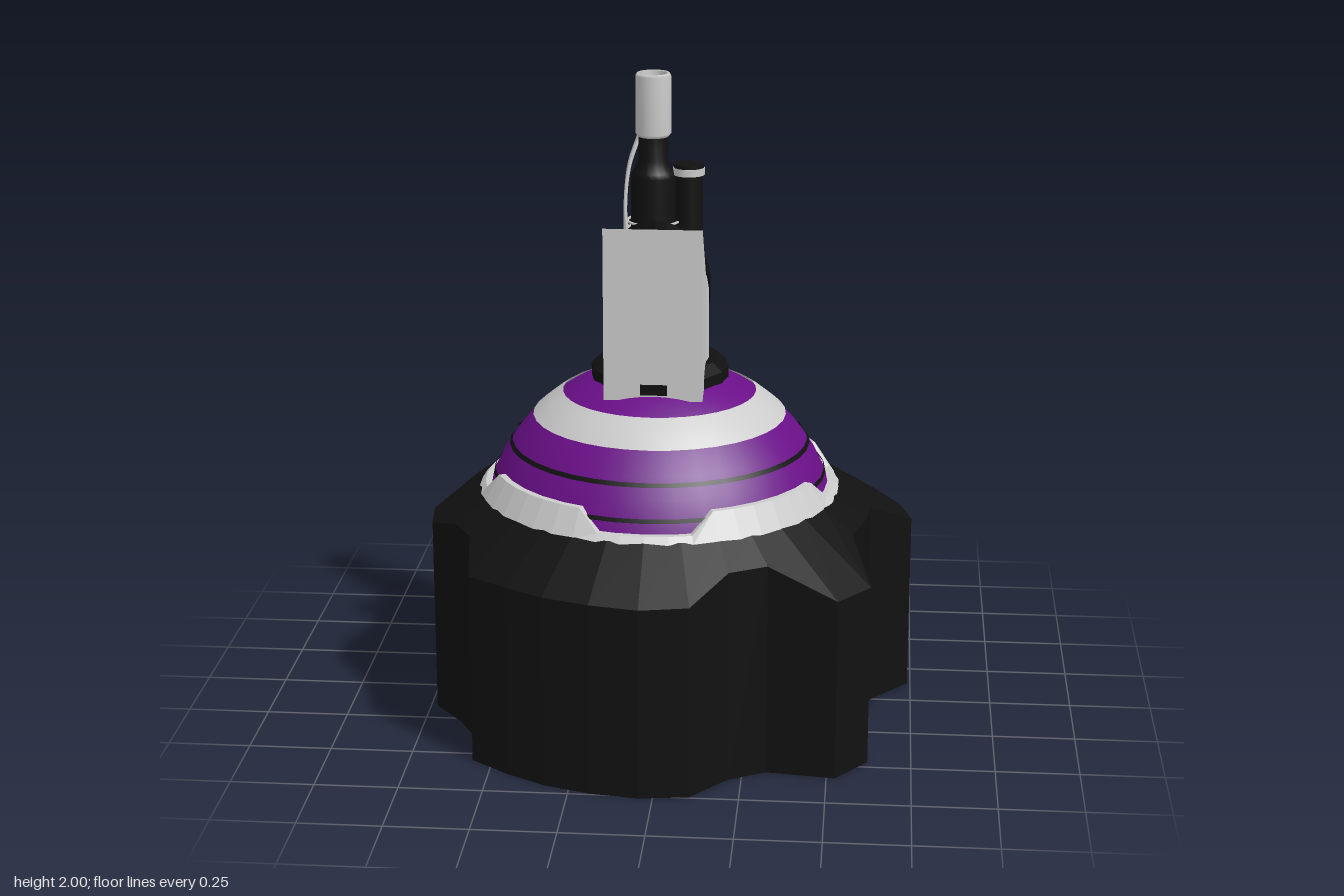
import * as THREE from 'three';

const grey = new THREE.MeshStandardMaterial({ color: 0xcccccc, side: THREE.DoubleSide });
const greyFlat = new THREE.MeshStandardMaterial({ color: 0xcccccc, side: THREE.DoubleSide, flatShading: true });
const black = new THREE.MeshStandardMaterial({ color: 0x111111, side: THREE.DoubleSide });
const blackFlat = new THREE.MeshStandardMaterial({ color: 0x111111, side: THREE.DoubleSide, flatShading: true });
const purple = new THREE.MeshStandardMaterial({ color: 0x6a0f88 });

const CX = -0.04, CZ = 0.025; // axis of the dome
const BALL_Y = 0.55, BALL_R = 0.55;

// Scalloped outline of the skirt, x and z, seen from above
const OUTLINE = [
  [-0.04, -0.77], [0.115, -0.755], [0.21, -0.585], [0.32, -0.52], [0.42, -0.435], [0.62, -0.42],
  [0.705, -0.265], [0.74, -0.135], [0.61, 0.02], [0.6, 0.13], [0.56, 0.27], [0.62, 0.465],
  [0.525, 0.585], [0.32, 0.56], [0.21, 0.62], [0.105, 0.745], [-0.04, 0.765], [-0.185, 0.745],
  [-0.325, 0.7], [-0.44, 0.635], [-0.56, 0.545], [-0.58, 0.38], [-0.64, 0.27], [-0.73, 0.16],
  [-0.745, 0.025], [-0.66, -0.06], [-0.64, -0.22], [-0.675, -0.4], [-0.58, -0.52],
  [-0.4, -0.515], [-0.28, -0.58], [-0.19, -0.755],
];

// Skin closed loops of points, listed from bottom to top
function skin(rows) {
  const n = rows[0].length, index = [];
  for (let r = 0; r < rows.length - 1; r++) {
    for (let i = 0; i < n; i++) {
      const a = r * n + i, b = r * n + (i + 1) % n;
      index.push(a, a + n, b, b, a + n, b + n);
    }
  }
  const g = new THREE.BufferGeometry();
  g.setAttribute('position', new THREE.Float32BufferAttribute(rows.flat(2), 3));
  g.setIndex(index);
  g.computeVertexNormals();
  return g;
}

// Surface of revolution from [radius, y] pairs
function lathe(profile, segments) {
  return new THREE.LatheGeometry(profile.map(([r, y]) => new THREE.Vector2(r, y)), segments);
}

// Height of the slanted cut through the turret
const cut = (z) => 1.59 - (0.175 - z) * 1.345;

// Cylinder about the turret axis whose ends follow given heights
function slantedDrum(radius, bottom, top) {
  const g = new THREE.CylinderGeometry(radius, radius, 1, 28);
  g.translate(CX, 0, CZ);
  const p = g.attributes.position;
  for (let i = 0; i < p.count; i++) p.setY(i, (p.getY(i) > 0 ? top : bottom)(p.getZ(i)));
  g.computeVertexNormals();
  return g;
}

export function createModel() {
  const model = new THREE.Group();
  function add(name, geometry, material, x = 0, y = 0, z = 0) {
    const m = new THREE.Mesh(geometry, material);
    m.name = name;
    m.position.set(x, y, z);
    model.add(m);
    return m;
  }

  // Hollow skirt: vertical scalloped wall and a shoulder sloping up to a circle
  const onCircle = (r, y) => OUTLINE.map(([x, z]) => {
    const d = Math.hypot(x - CX, z - CZ);
    return [CX + (x - CX) * r / d, y, CZ + (z - CZ) * r / d];
  });
  add('skirt', skin([
    OUTLINE.map(([x, z]) => [x, 0, z]),
    OUTLINE.map(([x, z]) => [x, Math.max(0.56, 0.72 - (Math.hypot(x - CX, z - CZ) - 0.55) * 0.7), z]),
    onCircle(0.55, 0.72),
    onCircle(0.51, 0.72),
  ]), blackFlat);

  // Ball that forms the dome and hangs inside the skirt
  add('ball', new THREE.SphereGeometry(BALL_R, 36, 24), purple, CX, BALL_Y, CZ);

  // Bands around the dome
  function band(name, y0, y1, radius, material) {
    const profile = [];
    for (let i = 0; i <= 3; i++) {
      const y = y0 + (y1 - y0) * i / 3;
      profile.push([Math.sqrt(radius ** 2 - (y - BALL_Y) ** 2), y]);
    }
    add(name, lathe(profile, 36), material, CX, 0, CZ);
  }
  band('paleBand', 0.948, 1.02, 0.555, grey);
  band('upperGroove', 0.858, 0.87, 0.554, black);
  band('lowerGroove', 0.765, 0.777, 0.554, black);

  // Collar with four broad notches in its upper edge
  const ring = (f) => Array.from({ length: 48 }, (_, i) => {
    const deg = i * 7.5, a = THREE.MathUtils.degToRad(deg);
    const off = Math.abs(((deg + 45) % 90) - 45);
    const [r, y] = f(off < 16 ? 0.735 : 0.795);
    return [CX + r * Math.sin(a), y, CZ - r * Math.cos(a)];
  });
  const hug = (y, gap) => Math.sqrt(BALL_R ** 2 - (y - BALL_Y) ** 2) + gap;
  add('collar', skin([
    ring(() => [0.555, 0.715]),
    ring((y) => [hug(y, 0.018), y]),
    ring((y) => [hug(y, -0.01), y]),
  ]), greyFlat);

  // Black seat of the turret
  add('turretSeat', lathe([[0.21, 1.04], [0.21, 1.095], [0.18, 1.122], [0, 1.122]], 16), blackFlat, CX, 0, 0.01);

  // Turret body with slanted rim and deck
  add('turretBody', slantedDrum(0.15, () => 1.06, (z) => cut(z) - 0.05), greyFlat);
  add('turretRim', slantedDrum(0.155, (z) => cut(z) - 0.05, (z) => cut(z) - 0.012), blackFlat);
  add('turretDeck', slantedDrum(0.14, (z) => cut(z) - 0.02, cut), greyFlat);

  // Wedge shield standing in front of the turret
  const side = new THREE.Shape();
  [[0.235, 1.045], [0.235, 1.57], [-0.055, 1.225], [-0.055, 1.06]].forEach(([z, y], i) =>
    i ? side.lineTo(-z, y) : side.moveTo(-z, y));
  const wedge = new THREE.ExtrudeGeometry(side, { depth: 0.295, bevelEnabled: false });
  wedge.rotateY(Math.PI / 2);
  add('shield', wedge, greyFlat, -0.19, 0, 0);
  add('shieldLatch', new THREE.BoxGeometry(0.08, 0.03, 0.02), blackFlat, CX, 1.08, 0.235);

  // Main barrel with pale muzzle sleeve
  const BX = -0.055, BZ = 0.053;
  add('mainBarrel', lathe([[0.068, 1.3], [0.068, 1.69], [0.062, 1.705], [0.045, 1.74], [0.045, 1.83]], 20), black, BX, 0, BZ);
  add('muzzleSleeve', lathe([[0.038, 1.86], [0.038, 1.998], [0.048, 2], [0.053, 1.992], [0.053, 1.82], [0.045, 1.81], [0, 1.81]], 20), grey, BX, 0, BZ);
  for (const y of [1.51, 1.53, 1.555]) {
    const hoop = add('barrelHoop', new THREE.TorusGeometry(0.078, 0.004, 6, 24), grey, BX, y, BZ);
    hoop.rotation.x = Math.PI / 2;
  }

  // Short second barrel with a cap
  add('shortBarrel', new THREE.CylinderGeometry(0.042, 0.042, 0.36, 18), black, 0.05, 1.525, 0.045);
  add('shortBarrelCap', new THREE.CylinderGeometry(0.048, 0.048, 0.022, 18), grey, 0.05, 1.706, 0.045);
  add('shortBarrelPlug', new THREE.CylinderGeometry(0.046, 0.046, 0.01, 18), black, 0.05, 1.722, 0.045);

  // Antenna on a rounded foot
  add('antennaFoot', new THREE.SphereGeometry(0.045, 16, 12), grey, -0.04, 1.31, -0.065);
  add('antenna', new THREE.CylinderGeometry(0.013, 0.015, 0.6, 10), black, -0.04, 1.63, -0.05);
  add('antennaTip', new THREE.CylinderGeometry(0.019, 0.019, 0.015, 10), black, -0.04, 1.93, -0.05);

  // Cables looping from the muzzle down to the deck
  const cables = [
    [[-0.1, 1.81, 0.04], [-0.13, 1.72, 0.02], [-0.145, 1.58, 0], [-0.14, 1.37, -0.015]],
    [[-0.1, 1.8, 0.06], [-0.125, 1.72, 0.08], [-0.135, 1.6, 0.1], [-0.125, 1.5, 0.11]],
    [[-0.06, 1.8, 0.005], [-0.075, 1.7, -0.015], [-0.085, 1.55, -0.025], [-0.09, 1.33, -0.03]],
  ];
  for (const points of cables) {
    const curve = new THREE.CatmullRomCurve3(points.map((p) => new THREE.Vector3(...p)));
    add('cable', new THREE.TubeGeometry(curve, 20, 0.006, 6), grey);
  }
  return model;
}
